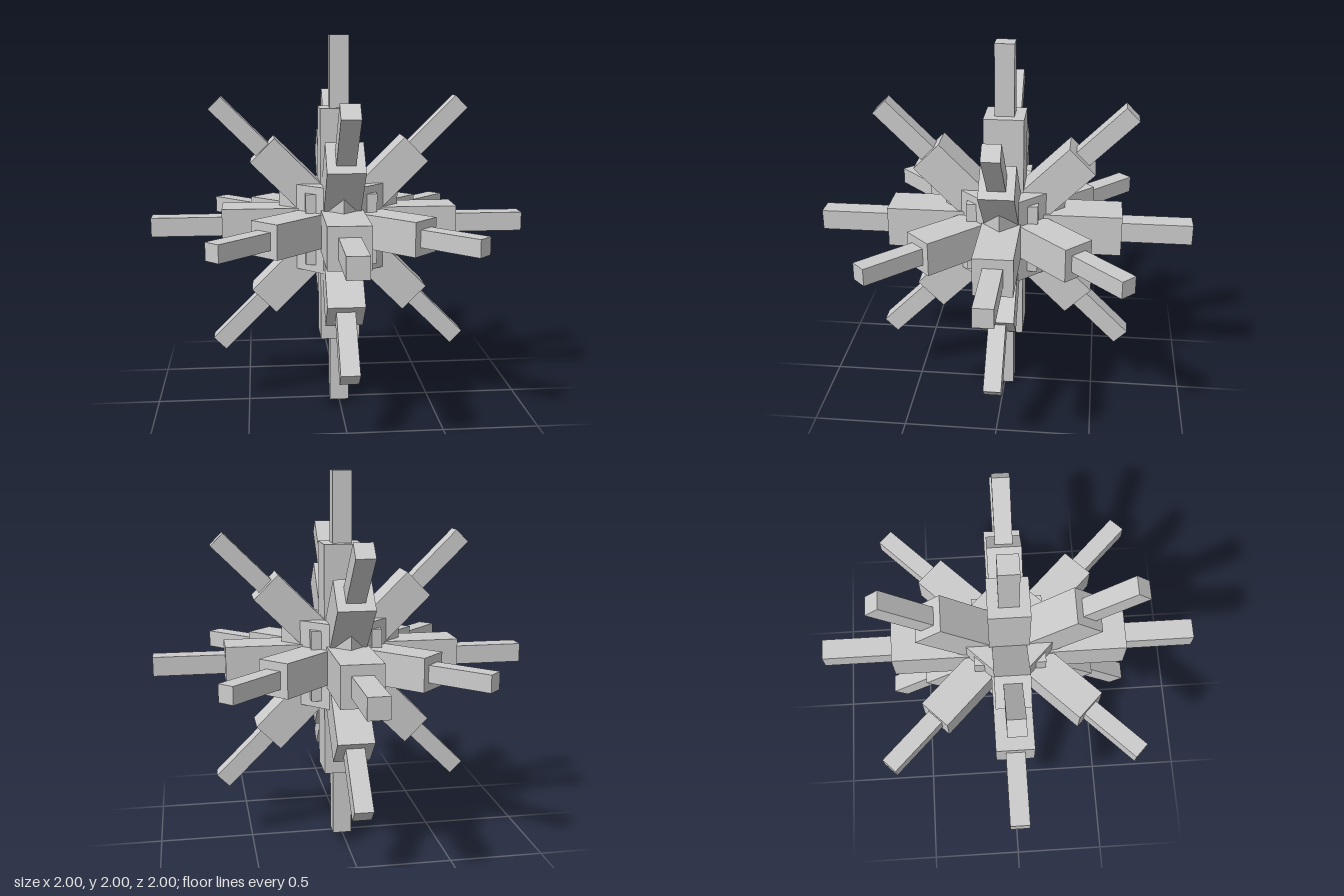
import * as THREE from 'three';

const grey = new THREE.MeshStandardMaterial({ color: 0xcccccc });
grey.name = 'plainGrey';

function box(name, w, h, d) {
  const mesh = new THREE.Mesh(new THREE.BoxGeometry(w, h, d), grey);
  mesh.name = name;
  return mesh;
}

// A square bar through the centre, thick inside and thin outside, so it forms two opposite spikes
function spikePair(name, thickLength, thickWidth, thinLength, thinWidth) {
  const pair = new THREE.Group();
  pair.name = name;
  pair.add(box('thickSpike', thickWidth, thickLength, thickWidth));
  pair.add(box('thinSpike', thinWidth, thinLength, thinWidth));
  return pair;
}

export function createModel() {
  const model = new THREE.Group();
  model.name = 'spikyStar';
  const burst = new THREE.Group();
  burst.name = 'burst';
  burst.position.y = 1;
  model.add(burst);

  // Core: a cube turned on its corner, with a smaller straight cube poking through its sides
  const core = box('turnedCore', 0.454, 0.456, 0.454);
  core.rotation.y = Math.PI / 4;
  burst.add(core, box('straightCore', 0.374, 0.376, 0.374));

  // Spikes along the three axes: name, thick width, thin width, rotation
  const H = Math.PI / 2, Q = Math.PI / 4;
  const axes = [
    ['verticalSpikes', 0.21, 0.102, [0, 0, 0]],
    ['sideSpikes', 0.202, 0.101, [0, 0, H]],
    ['frontBackSpikes', 0.219, 0.109, [H, 0, 0]],
  ];
  for (const [name, thick, thin, rotation] of axes) {
    const pair = spikePair(name, 1.25, thick, 2, thin);
    pair.rotation.set(...rotation);
    burst.add(pair);
  }

  // Diagonal spikes, two crossed pairs in each of the three planes
  const diagonals = [
    ['frontPlaneSpikes', 0.18, 0.092, (s) => [0, 0, s * Q]],
    ['sidePlaneSpikes', 0.194, 0.098, (s) => [s * Q, 0, 0]],
    ['levelPlaneSpikes', 0.18, 0.092, (s) => [H, 0, s * Q]],
  ];
  for (const [name, thick, thin, rotation] of diagonals) {
    for (const s of [-1, 1]) {
      const pair = spikePair(name, 1.152, thick, 1.848, thin);
      pair.rotation.set(...rotation(s));
      burst.add(pair);
    }
  }
  return model;
}
